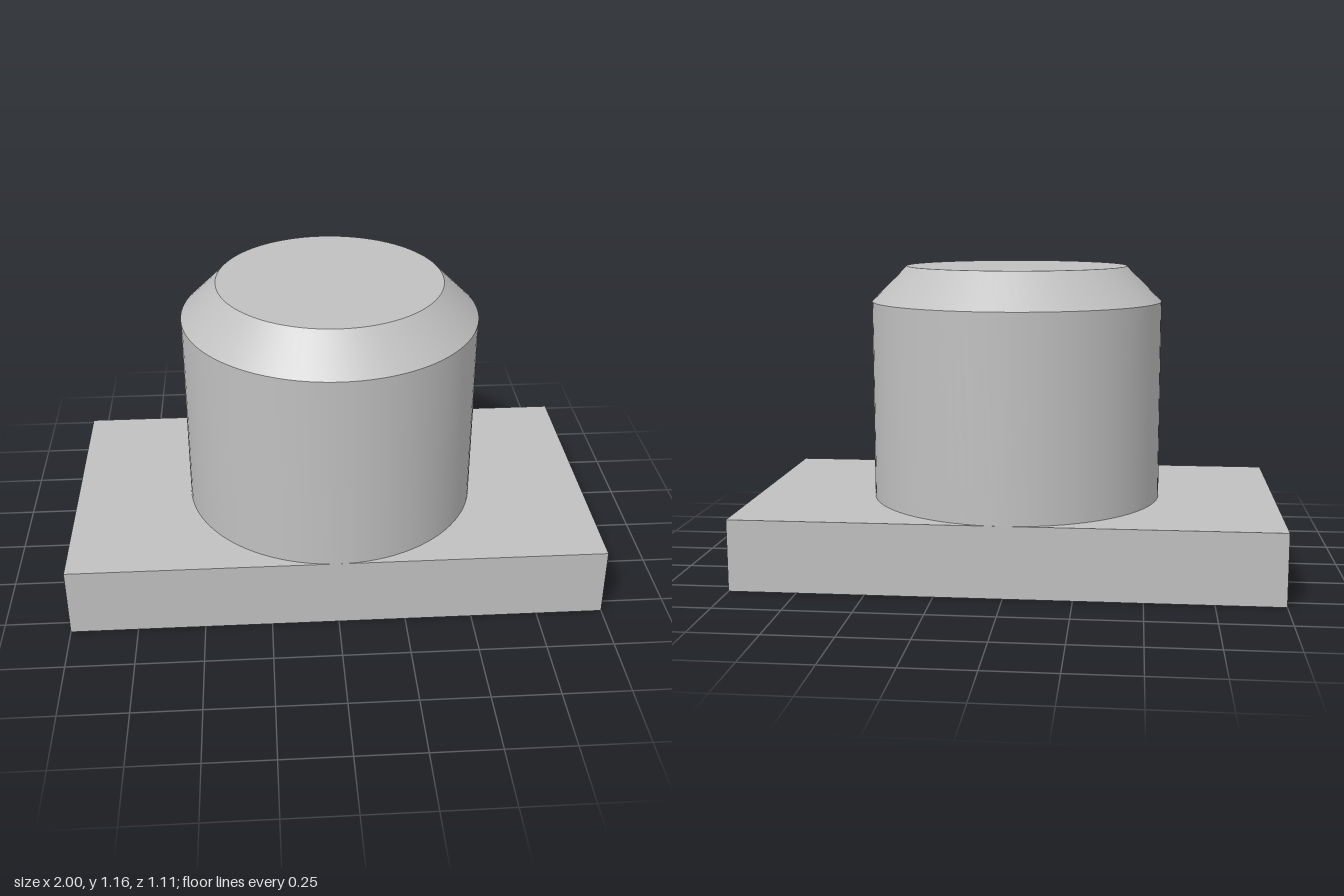
import * as THREE from 'three';
import { toCreasedNormals } from 'three/addons/utils/BufferGeometryUtils.js';

export function createModel() {
  const model = new THREE.Group();
  const grey = new THREE.MeshStandardMaterial({ color: 0xc0c0c0 });
  grey.name = 'light grey';

  const unit = 2 / 90; // the plate is 90 units long
  const length = 90 * unit, depth = 50 * unit, plateHeight = 12 * unit;
  const bodyRadius = 25 * unit, height = 52 * unit;
  const chamfer = 6 * unit, recessRadius = 19 * unit, recessDepth = 6 * unit;

  const add = (name, geometry) => {
    const mesh = new THREE.Mesh(toCreasedNormals(geometry, Math.PI / 6), grey);
    mesh.name = name;
    model.add(mesh);
  };

  // Rectangular base plate with a round opening underneath
  const outline = new THREE.Shape([
    new THREE.Vector2(-length / 2, -depth / 2),
    new THREE.Vector2(length / 2, -depth / 2),
    new THREE.Vector2(length / 2, depth / 2),
    new THREE.Vector2(-length / 2, depth / 2),
  ]);
  outline.holes.push(new THREE.Path().absarc(0, 0, recessRadius, 0, Math.PI * 2, true));
  const plate = new THREE.ExtrudeGeometry(outline, {
    depth: plateHeight, bevelEnabled: false, curveSegments: 48,
  });
  plate.rotateX(-Math.PI / 2);
  add('basePlate', plate);

  // Chamfered round body; its lower plug forms the ceiling of the recess
  const profile = [
    [0, recessDepth],
    [recessRadius, recessDepth],
    [recessRadius, plateHeight],
    [bodyRadius, plateHeight],
    [bodyRadius, height - chamfer],
    [bodyRadius - chamfer, height],
    [0, height],
  ].map(([r, y]) => new THREE.Vector2(r, y));
  add('cylindricalBody', new THREE.LatheGeometry(profile, 96));

  return model;
}
